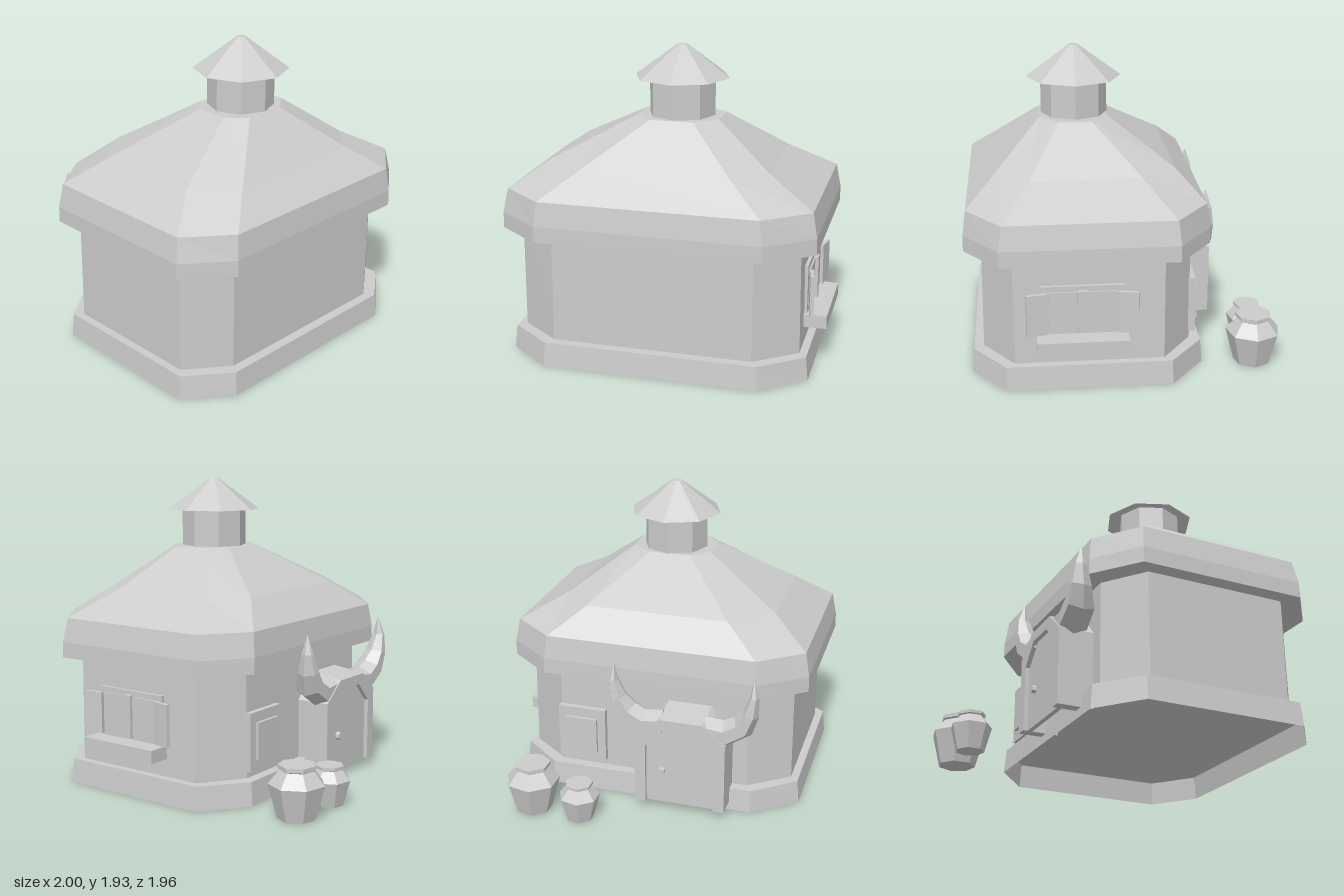
import * as THREE from 'three';

// Double-sided because the plinth and the chimney cap are open underneath
const stone = new THREE.MeshStandardMaterial({ color: 0xcccccc, flatShading: true, side: THREE.DoubleSide });
stone.name = 'pale stone';

function add(parent, name, geometry, x = 0, y = 0, z = 0) {
  const mesh = new THREE.Mesh(geometry, stone);
  mesh.name = name;
  mesh.position.set(x, y, z);
  parent.add(mesh);
  return mesh;
}

// Solid through a list of equal-length rings of [x, y, z] points, optionally open at the start
function loft(rings, openStart = false) {
  const n = rings[0].length, pos = [];
  const tri = (a, b, c) => pos.push(...a, ...b, ...c);
  for (let r = 0; r < rings.length - 1; r++) {
    for (let i = 0; i < n; i++) {
      const j = (i + 1) % n, lo = rings[r], hi = rings[r + 1];
      tri(lo[i], hi[i], hi[j]);
      tri(lo[i], hi[j], lo[j]);
    }
  }
  const first = rings[0], last = rings[rings.length - 1];
  for (let i = 1; i < n - 1; i++) {
    if (!openStart) tri(first[0], first[i], first[i + 1]);
    tri(last[0], last[i + 1], last[i]);
  }
  const g = new THREE.BufferGeometry();
  g.setAttribute('position', new THREE.Float32BufferAttribute(pos, 3));
  g.computeVertexNormals();
  return g;
}

// Rectangle with cut corners: outer limits, then limits of the straight sides
function cutRect(y, [x0, x1, z0, z1], [cx0, cx1, cz0, cz1]) {
  return [[x1, y, cz0], [x1, y, cz1], [cx1, y, z1], [cx0, y, z1],
    [x0, y, cz1], [x0, y, cz0], [cx0, y, z0], [cx1, y, z0]];
}

function box(parent, name, [x0, x1], [y0, y1], [z0, z1]) {
  return add(parent, name, new THREE.BoxGeometry(x1 - x0, y1 - y0, z1 - z0),
    (x0 + x1) / 2, (y0 + y1) / 2, (z0 + z1) / 2);
}

function shape(points) {
  return new THREE.Shape(points.map(([x, y]) => new THREE.Vector2(x, y)));
}

function lathe(points, sides, start = 0) {
  return new THREE.LatheGeometry(points.map(([r, y]) => new THREE.Vector2(r, y)), sides, start);
}

// Curved tapering horn; side mirrors it about the door's centre line
function horn(side) {
  const cx = -0.27;
  // distance from centre, height, z, half thickness, half depth
  const path = [[0.13, 0.6, -0.54, 0.08, 0.095], [0.27, 0.585, -0.54, 0.085, 0.1], [0.375, 0.65, -0.545, 0.078, 0.095],
    [0.425, 0.75, -0.565, 0.055, 0.072], [0.45, 0.87, -0.575, 0.028, 0.042], [0.445, 0.985, -0.57, 0.003, 0.004]];
  const rings = path.map(([px, py, pz, r, rz], k) => {
    const a = path[Math.max(k - 1, 0)], b = path[Math.min(k + 1, path.length - 1)];
    const t = new THREE.Vector2(side * (b[0] - a[0]), b[1] - a[1]).normalize();
    return Array.from({ length: 6 }, (_, i) => {
      const u = Math.cos(i * Math.PI / 3) * r, v = Math.sin(i * Math.PI / 3) * rz;
      return [cx + side * px + t.y * u, py - t.x * u, pz + v];
    });
  });
  return loft(rings);
}

export function createModel() {
  const model = new THREE.Group();
  model.name = 'hut';

  // Body: hollow plinth whose top is the floor
  add(model, 'plinth', loft([
    cutRect(0, [-0.97, 0.923, -0.492, 0.955], [-0.695, 0.65, -0.275, 0.745]),
    cutRect(0.15, [-0.955, 0.908, -0.48, 0.94], [-0.69, 0.645, -0.27, 0.74]),
  ], true));
  add(model, 'walls', loft([
    cutRect(0.15, [-0.905, 0.86, -0.415, 0.88], [-0.65, 0.6, -0.225, 0.69]),
    cutRect(0.82, [-0.9, 0.853, -0.41, 0.875], [-0.645, 0.6, -0.225, 0.69]),
  ], true));
  add(model, 'roof', loft([
    cutRect(0.82, [-1, 0.955, -0.522, 0.98], [-0.72, 0.67, -0.305, 0.765]),
    cutRect(0.92, [-0.998, 0.953, -0.52, 0.978], [-0.718, 0.668, -0.305, 0.765]),
    cutRect(1.07, [-0.97, 0.925, -0.5, 0.958], [-0.7, 0.65, -0.29, 0.745]),
    cutRect(1.235, [-0.735, 0.63, -0.33, 0.775], [-0.48, 0.44, -0.11, 0.575]),
    cutRect(1.495, [-0.24, 0.28, 0.065, 0.495], [-0.13, 0.14, 0.17, 0.38]),
  ]));

  // Chimney with an open conical cap
  add(model, 'chimney', new THREE.CylinderGeometry(0.21, 0.21, 0.27, 8), 0.02, 1.615, 0.27);
  add(model, 'chimneyCap', lathe([[0.3, 0], [0.03, 0.2], [0, 0.2]], 8), 0.02, 1.73, 0.27);

  // Side window with open shutters
  const side = new THREE.Group();
  side.name = 'sideWindow';
  model.add(side);
  box(side, 'windowFrame', [0.84, 0.875], [0.34, 0.655], [0.02, 0.53]);
  box(side, 'windowPanel', [0.85, 0.885], [0.365, 0.62], [0.07, 0.48]);
  box(side, 'mullion', [0.85, 0.905], [0.36, 0.63], [0.25, 0.305]);
  box(side, 'sill', [0.84, 1], [0.263, 0.345], [0, 0.553]);
  for (const s of [-1, 1]) {
    const shutter = add(side, 'shutter', new THREE.BoxGeometry(0.025, 0.265, 0.125), 0.903, 0.488, 0.277 + s * 0.275);
    shutter.rotation.y = s * 0.18;
  }

  // Small back window
  box(model, 'backWindowFrame', [0.29, 0.61], [0.195, 0.56], [-0.45, -0.4]);
  box(model, 'backWindowPanel', [0.345, 0.555], [0.26, 0.495], [-0.47, -0.42]);

  // Doorway: arch, thin door leaf, knob and horns
  const doorway = new THREE.Group();
  doorway.name = 'doorway';
  model.add(doorway);
  const arch = shape([[0.03, 0.055], [0.03, 0.53], [-0.13, 0.655], [-0.41, 0.655], [-0.555, 0.53], [-0.555, 0.055],
    [-0.485, 0.055], [-0.485, 0.46], [-0.36, 0.59], [-0.16, 0.59], [-0.04, 0.46], [-0.04, 0.055]]);
  const archGeometry = new THREE.ExtrudeGeometry(arch, { depth: 0.225, bevelEnabled: false });
  const p = archGeometry.attributes.position;
  for (let i = 0; i < p.count; i++) {
    // the top slopes up to the wall
    if (p.getY(i) > 0.6 && p.getZ(i) > 0.1) p.setY(i, 0.685);
  }
  archGeometry.computeVertexNormals();
  add(doorway, 'doorFrame', archGeometry, 0, 0, -0.633);
  const leaf = shape([[-0.04, 0.055], [-0.04, 0.46], [-0.16, 0.59], [-0.36, 0.59], [-0.485, 0.46], [-0.485, 0.055]]);
  add(doorway, 'door', new THREE.ExtrudeGeometry(leaf, { depth: 0.03, bevelEnabled: false }), 0, 0, -0.605);
  const knob = add(doorway, 'doorKnob', new THREE.CylinderGeometry(0.022, 0.028, 0.03, 6), -0.14, 0.285, -0.615);
  knob.rotation.x = -Math.PI / 2;
  add(doorway, 'leftHorn', horn(1));
  add(doorway, 'rightHorn', horn(-1));

  // Seven-sided pots behind the hut
  const profile = [[0, 0], [0.117, 0], [0.173, 0.21], [0.103, 0.293], [0.115, 0.3], [0.115, 0.325], [0, 0.325]];
  for (const [name, x, z, s] of [['largePot', 0.655, -0.815, 1], ['smallPot', 0.332, -0.838, 0.76]]) {
    const pot = add(model, name, lathe(profile, 7, Math.PI / 2), x, 0, z);
    pot.scale.setScalar(s);
  }
  return model;
}
